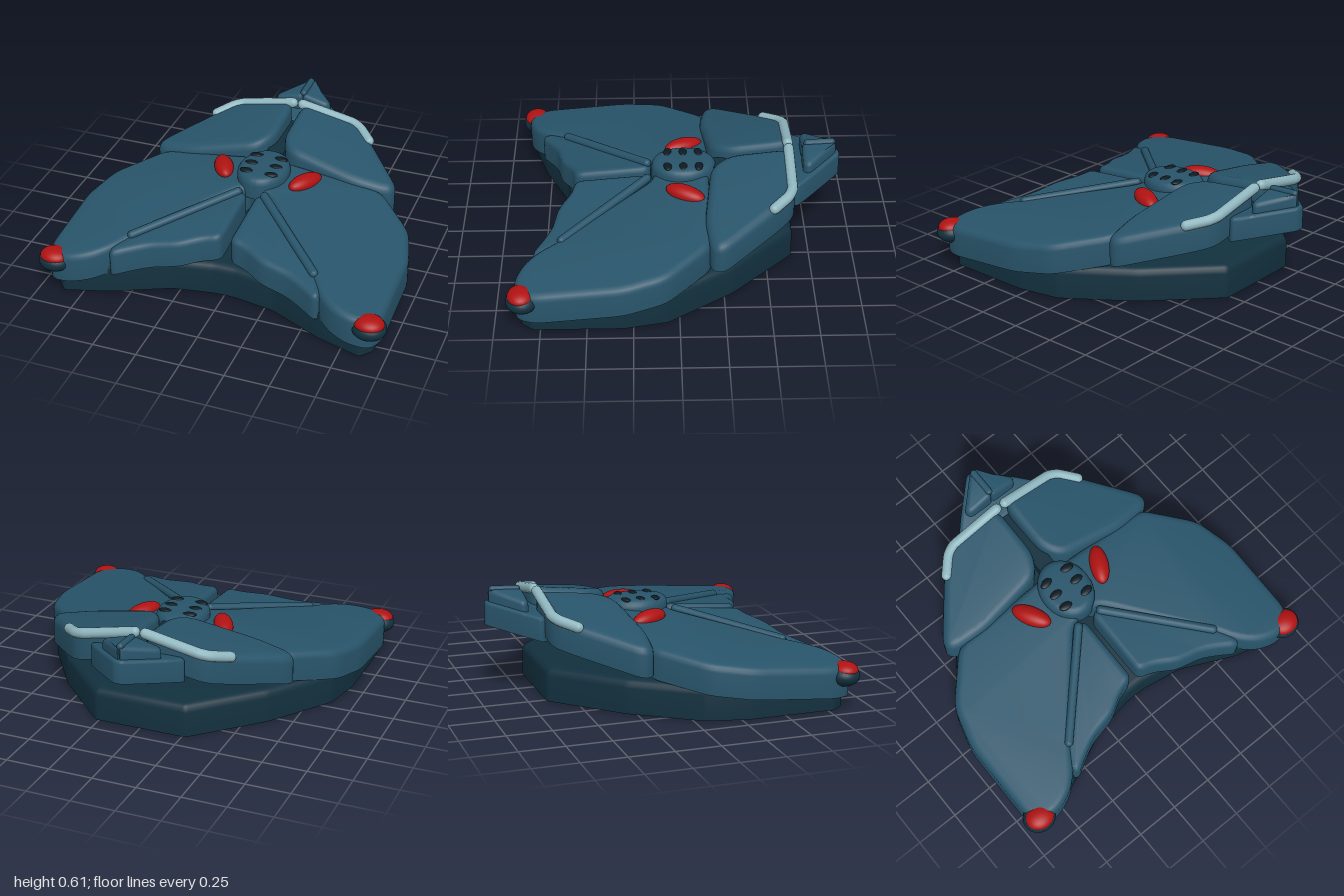
import * as THREE from 'three';
import { toCreasedNormals } from 'three/addons/utils/BufferGeometryUtils.js';

const paint = (name, color) => {
  const m = new THREE.MeshStandardMaterial({ color });
  m.name = name;
  return m;
};

// Round the corners of a closed [x, z] outline; returns points in (x, -z), anticlockwise from above
function roundOutline(corners, radius) {
  const p = corners.map(([x, z]) => new THREE.Vector2(x, -z));
  if (THREE.ShapeUtils.isClockWise(p)) p.reverse();
  const out = [];
  p.forEach((c, i) => {
    const a = p[(i + p.length - 1) % p.length], b = p[(i + 1) % p.length];
    const toward = (q) => c.clone().lerp(q, Math.min(radius / c.distanceTo(q), 0.45));
    const curve = new THREE.QuadraticBezierCurve(toward(a), c, toward(b));
    out.push(...curve.getPoints(4));
  });
  return out;
}

// Plate with straight walls, a rounded upper edge and a tilted base plane y = plane(x, z)
function slab(corners, plane, height, bevel, radius) {
  const base = roundOutline(corners, radius), n = base.length;
  const inset = (d) => base.map((c, i) => {
    const t = base[(i + 1) % n].clone().sub(base[(i + n - 1) % n]).normalize();
    return new THREE.Vector2(c.x - t.y * d, c.y + t.x * d);
  });
  const rings = [[0, 0]];
  for (let k = 0; k <= 4; k++) {
    const a = (k / 4) * Math.PI / 2;
    rings.push([bevel * (1 - Math.cos(a)), height - bevel + bevel * Math.sin(a)]);
  }
  const pos = [], idx = [];
  for (const [d, h] of rings) {
    for (const q of inset(d)) pos.push(q.x, plane(q.x, -q.y) + h, -q.y);
  }
  for (let r = 0; r < rings.length - 1; r++) {
    for (let i = 0; i < n; i++) {
      const a = r * n + i, b = r * n + (i + 1) % n;
      idx.push(a, b, b + n, a, b + n, a + n);
    }
  }
  const top = (rings.length - 1) * n;
  for (const [a, b, c] of THREE.ShapeUtils.triangulateShape(inset(bevel), [])) idx.push(top + a, top + b, top + c);
  for (const [a, b, c] of THREE.ShapeUtils.triangulateShape(base, [])) idx.push(a, c, b);
  const g = new THREE.BufferGeometry();
  g.setAttribute('position', new THREE.Float32BufferAttribute(pos, 3));
  g.setIndex(idx);
  return toCreasedNormals(g, 0.6);
}

export function createModel() {
  const model = new THREE.Group();
  const hull = paint('hull teal', 0x28546a);
  const dark = paint('dark navy', 0x12303e);
  const slot = paint('slot black', 0x0c1a22);
  const red = paint('lamp red', 0xb01212);
  const pale = paint('pale trim', 0x8fb6bf);

  const add = (name, geo, mat) => {
    const m = new THREE.Mesh(geo, mat);
    m.name = name;
    model.add(m);
    return m;
  };
  const ellipsoid = (name, mat, at, size) => {
    const m = add(name, new THREE.SphereGeometry(1, 28, 18), mat);
    m.position.set(...at);
    m.scale.set(...size);
    return m;
  };
  const mirrored = (half) => [...half, ...half.map(([x, z]) => [-x, z]).reverse()];

  // Base plate under the wings
  add('base', slab(mirrored([
    [0.06, 0.6], [0.3, 0.64], [0.6, 0.78], [0.86, 0.86], [0.92, 0.79],
    [0.92, 0.3], [0.87, 0.06], [0.62, -0.3], [0.27, -0.65],
  ]), () => 0, 0.19, 0.045, 0.02), dark);

  const wingPlane = (x, z) => 0.275 - 0.132 * Math.abs(x) - 0.088 * z;
  const rearPlane = (x, z) => 0.347 - 0.2 * Math.abs(x) - 0.114 * z;

  for (const [side, s] of [['left', 1], ['right', -1]]) {
    const flip = (pts) => pts.map(([x, z]) => [s * x, z]);

    // Main wing and its inner front panel
    add(side + 'Wing', slab(flip([
      [0.03, 0.13], [0.1, 0.15], [0.53, 0.66], [0.6, 0.77], [0.69, 0.85], [0.8, 0.89], [0.92, 0.88],
      [0.965, 0.78], [0.965, 0.3], [0.9, 0.07], [0.67, -0.18], [0.03, -0.18],
    ]), wingPlane, 0.17, 0.04, 0.06), hull);
    add(side + 'InnerPanel', slab(flip([
      [0.025, 0.16], [0.1, 0.14], [0.55, 0.62], [0.62, 0.75], [0.59, 0.805], [0.5, 0.75],
      [0.4, 0.7], [0.24, 0.67], [0.12, 0.6], [0.025, 0.58],
    ]), wingPlane, 0.155, 0.035, 0.045), hull);

    // Raised rib along the seam
    const onWing = (x, z, h) => new THREE.Vector3(s * x, wingPlane(x, z) + h, z);
    const a = onWing(0.08, 0.17, 0.16), b = onWing(0.53, 0.64, 0.16);
    const rib = add(side + 'Rib', new THREE.CapsuleGeometry(0.025, a.distanceTo(b), 6, 14), hull);
    rib.position.copy(a).lerp(b, 0.5);
    rib.quaternion.setFromUnitVectors(new THREE.Vector3(0, 1, 0), b.clone().sub(a).normalize());

    // Rear upper panel with pale trim bar
    add(side + 'RearPanel', slab(flip([
      [0.025, -0.61], [0.06, -0.65], [0.38, -0.65], [0.48, -0.55], [0.74, -0.24], [0.71, -0.17],
      [0.5, -0.145], [0.1, -0.19], [0.025, -0.3],
    ]), rearPlane, 0.165, 0.045, 0.07), hull);
    const onRear = (x, z) => new THREE.Vector3(s * x, rearPlane(x, z) + 0.155, z);
    const bar = new THREE.CurvePath();
    const p = [onRear(0.03, -0.633), onRear(0.34, -0.633), onRear(0.39, -0.62), onRear(0.48, -0.525)];
    bar.add(new THREE.LineCurve3(p[0], p[1]));
    bar.add(new THREE.QuadraticBezierCurve3(p[1], p[2].clone(), p[2].clone().lerp(p[3], 0.25)));
    bar.add(new THREE.LineCurve3(p[2].clone().lerp(p[3], 0.25), p[3]));
    add(side + 'TrimBar', new THREE.TubeGeometry(bar, 30, 0.03, 12), pale);
    for (const end of [p[0], p[3]]) ellipsoid(side + 'TrimEnd', pale, end.toArray(), [0.029, 0.029, 0.029]);

    // Red eye beside the hub
    const eye = ellipsoid(side + 'Eye', red, [s * 0.248, 0.415, -0.045], [0.055, 0.048, 0.12]);
    eye.rotation.set(0.07, -s * 0.48, 0, 'YXZ');
    eye.rotation.y = s * (Math.PI - 0.48);

    // Wing tip lamp in its dark socket
    ellipsoid(side + 'LampSocket', dark, [s * 0.905, 0.19, 0.842], [0.095, 0.06, 0.088]);
    ellipsoid(side + 'Lamp', red, [s * 0.905, 0.22, 0.848], [0.083, 0.044, 0.072]);

    // Hub vents
    for (let i = 0; i < 3; i++) {
      const z = -0.125 + i * 0.088;
      const vent = ellipsoid(side + 'Vent', slot, [s * 0.074, 0.484, z], [0.04, 0.012, 0.024]);
      vent.rotation.y = s * (i - 1) * 0.15;
    }

    // Sloped half of the tail cap
    add(side + 'TailCap', slab(flip([
      [0, -0.91], [0.03, -0.885], [0.175, -0.745], [0.155, -0.71], [0, -0.71],
    ]), (x, z) => 0.485 - 0.25 * Math.abs(x) - 0.05 * (z + 0.71), 0.105, 0.025, 0.025), hull);
  }

  // Central hub, an oval with a rounded top
  const oval = [];
  for (let i = 0; i < 20; i++) {
    const t = (i / 20) * Math.PI * 2;
    oval.push([0.15 * Math.cos(t), -0.04 + 0.185 * Math.sin(t)]);
  }
  add('hub', slab(oval, () => 0.36, 0.128, 0.045, 0.02), hull);

  // Bridge joining the hub to the tail
  const bridge = add('bridge', new THREE.BoxGeometry(0.1, 0.06, 0.5), dark);
  bridge.position.set(0, 0.43, -0.42);

  // Pointed tail and the ridge on its cap
  add('tail', slab(mirrored([[0.22, -0.6], [0.28, -0.67], [0.2, -0.755], [0.025, -0.925]]),
    (x, z) => 0.34 - 0.2 * (z + 0.65), 0.135, 0.02, 0.02), hull);
  const ridge = add('tailRidge', new THREE.CapsuleGeometry(0.02, 0.14, 6, 12), hull);
  ridge.rotation.x = Math.PI / 2 + 0.05;
  ridge.position.set(0, 0.588, -0.81);

  return model;
}
